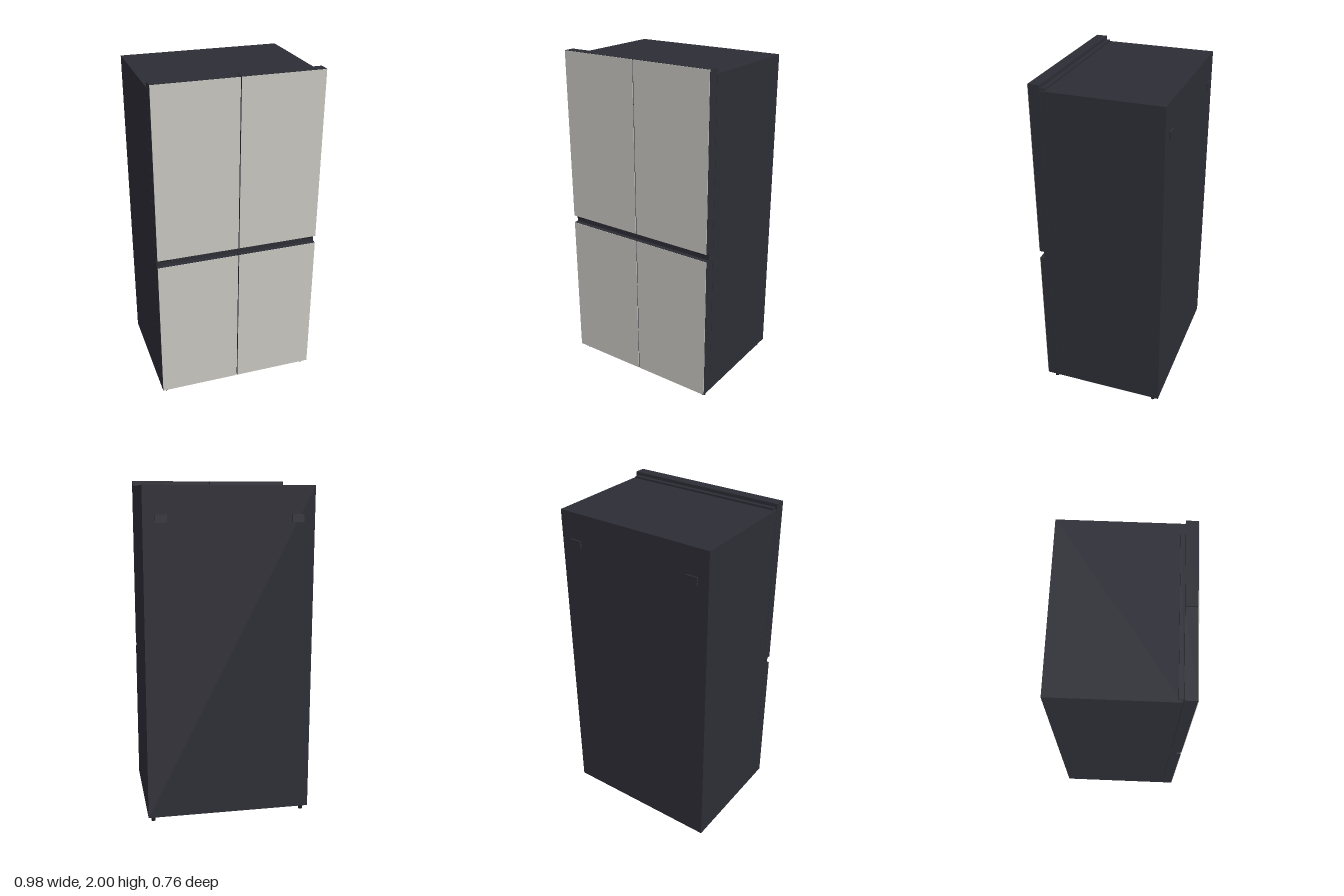
import * as THREE from 'three';

export function createModel() {
  const group = new THREE.Group();
  const mat = (name, color) => {
    const m = new THREE.MeshStandardMaterial({ color });
    m.name = name;
    return m;
  };
  const body = mat('dark charcoal', 0x2d2d36);
  const panel = mat('warm grey panel', 0xc8c6c0);
  const trim = mat('black trim', 0x1c1c20);

  // Box given by its minimum and maximum along each axis
  const box = (name, material, [x0, x1], [y0, y1], [z0, z1]) => {
    const mesh = new THREE.Mesh(new THREE.BoxGeometry(x1 - x0, y1 - y0, z1 - z0), material);
    mesh.position.set((x0 + x1) / 2, (y0 + y1) / 2, (z0 + z1) / 2);
    mesh.name = name;
    group.add(mesh);
    return mesh;
  };
  const span = (side, a, b) => (side > 0 ? [a, b] : [-b, -a]);

  // Cabinet, top hinge cover and the seals behind the doors
  box('cabinet', body, [-0.49, 0.49], [0.035, 1.968], [-0.372, 0.308]);
  box('hingeCover', body, [-0.478, 0.478], [1.968, 1.98], [0.285, 0.31]);
  box('handleRecess', body, [-0.49, 0.49], [0.93, 0.975], [0.308, 0.35]);
  box('upperSeal', body, [-0.02, 0.02], [0.975, 1.968], [0.308, 0.312]);
  box('lowerSeal', body, [-0.02, 0.02], [0.035, 0.93], [0.308, 0.312]);

  for (const side of [-1, 1]) {
    // Doors with thin coloured front panels
    for (const [level, y0, y1] of [['upper', 0.975, 2], ['lower', 0.035, 0.93]]) {
      box(level + 'Door', body, span(side, 0.003, 0.49), [y0, y1], [0.31, 0.376]);
      box(level + 'DoorPanel', panel, span(side, 0.003, 0.489), [y0 + 0.001, y1 - 0.001], [0.376, 0.379]);
    }

    // Small grip catch under each upper door
    box('gripCatch', trim, span(side, 0.41, 0.47), [0.964, 0.975], [0.35, 0.371]);

    // Rear wall spacers
    box('rearSpacer', body, span(side, 0.356, 0.424), [1.766, 1.81], [-0.382, -0.372]);

    // Levelling feet
    for (const z of [-0.33, 0.33]) {
      const foot = new THREE.Mesh(new THREE.CylinderGeometry(0.012, 0.012, 0.036, 16), trim);
      foot.position.set(side * 0.458, 0.018, z);
      foot.name = 'foot';
      group.add(foot);
    }
  }
  return group;
}
